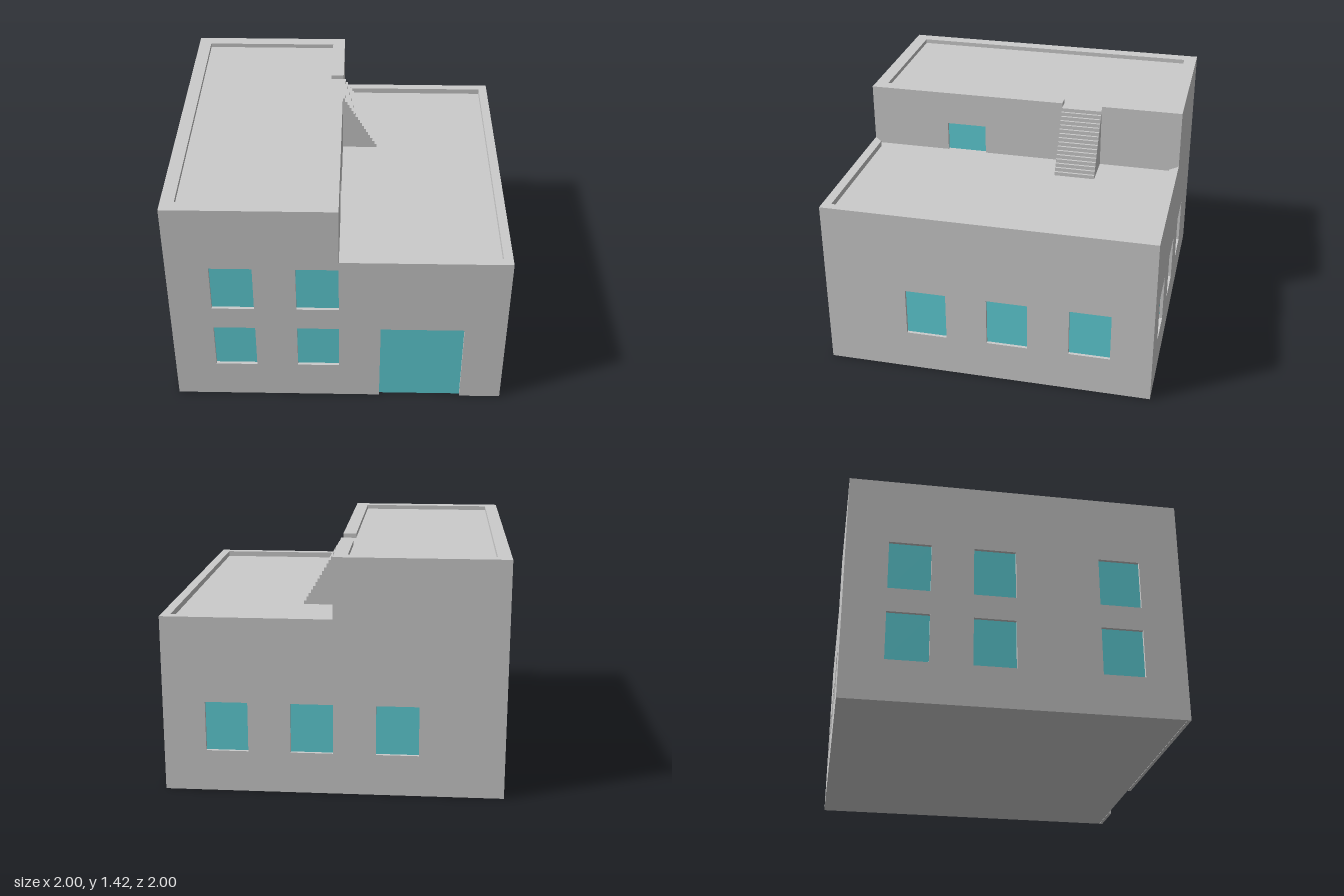
import * as THREE from 'three';

const grey = new THREE.MeshStandardMaterial({ color: 0xcccccc, flatShading: true });
const glass = new THREE.MeshStandardMaterial({ color: 0x5fd0d8, flatShading: true });

const LOW = 1.025, LOW_TOP = 1.06;    // lower roof and its parapet
const HIGH = 1.393, HIGH_TOP = 1.42;  // upper roof and its parapet
const T = 0.02;                       // depth of window and door recesses

const shapeOf = pts => new THREE.Shape(pts.map(p => new THREE.Vector2(p[0], p[1])));

function add(parent, name, geometry, material = grey) {
  const mesh = new THREE.Mesh(geometry, material);
  mesh.name = name;
  parent.add(mesh);
  return mesh;
}

function box(parent, name, x0, x1, y0, y1, z0, z1) {
  add(parent, name, new THREE.BoxGeometry(x1 - x0, y1 - y0, z1 - z0))
    .position.set((x0 + x1) / 2, (y0 + y1) / 2, (z0 + z1) / 2);
}

// Wall skin with recessed openings; outline and openings lie in the wall's own plane
function wall(parent, name, outline, windows, doors, turn, x, z) {
  const group = new THREE.Group();
  group.name = name;
  const shape = shapeOf(outline);
  for (const [x0, y0, x1, y1] of windows) {
    shape.holes.push(new THREE.Path([[x0, y0], [x0, y1], [x1, y1], [x1, y0]]
      .map(p => new THREE.Vector2(p[0], p[1]))));
  }
  const skin = add(group, name + 'Skin', new THREE.ExtrudeGeometry(shape, { depth: T, bevelEnabled: false }));
  skin.position.z = -T;
  const pane = ([x0, y0, x1, y1], label) =>
    add(group, label, new THREE.PlaneGeometry(x1 - x0, y1 - y0), glass)
      .position.set((x0 + x1) / 2, (y0 + y1) / 2, -T + 0.001);
  windows.forEach(w => pane(w, 'window'));
  doors.forEach(d => pane(d, 'door'));
  group.rotation.y = turn;
  group.position.set(x, 0, z);
  parent.add(group);
}

// Flat plan in (x, z) raised from y0 to y1
function plan(parent, name, pts, y0, y1) {
  const geo = new THREE.ExtrudeGeometry(shapeOf(pts.map(([x, z]) => [x, -z])), { depth: y1 - y0, bevelEnabled: false });
  geo.rotateX(-Math.PI / 2);
  add(parent, name, geo).position.y = y0;
}

// Rows of windows from their left edges
const row = (starts, y0, y1) => starts.map(x => [x, y0, x + 0.25, y1]);
const GROUND = [0.25, 0.55], UPPER = [0.7, 1.005];

export function createModel() {
  const house = new THREE.Group();
  house.name = 'house';
  const E = 1 - T;

  // Front wall, stepped, with a notch for the large door
  wall(house, 'frontWall',
    [[-1, 0], [0.25, 0], [0.25, 0.55], [0.75, 0.55], [0.75, 0], [1, 0], [1, LOW], [0, LOW], [0, HIGH], [-1, HIGH]],
    [...row([-0.75, -0.25], ...GROUND), ...row([-0.75, -0.25], ...UPPER)],
    [[0.25, 0, 0.75, 0.55]], 0, 0, 1);

  // Back wall, mirrored step
  wall(house, 'backWall',
    [[-1, 0], [1, 0], [1, HIGH], [0, HIGH], [0, LOW], [-1, LOW]],
    row([-0.75, -0.25, 0.25], ...GROUND), [], Math.PI, 0, -1);

  // Side walls
  wall(house, 'leftWall', [[-E, 0], [E, 0], [E, LOW], [-E, LOW]],
    row([-0.5, 0, 0.5], ...GROUND), [], Math.PI / 2, 1, 0);
  wall(house, 'rightWall', [[-E, 0], [E, 0], [E, HIGH], [-E, HIGH]],
    [...row([-0.75, -0.25, 0.5], ...GROUND), ...row([-0.75, -0.25, 0.5], ...UPPER)],
    [], -Math.PI / 2, -1, 0);

  // Upper storey wall facing the terrace, with its door
  wall(house, 'terraceWall',
    [[-E, LOW], [-0.5, LOW], [-0.5, 1.21], [-0.25, 1.21], [-0.25, LOW], [E, LOW], [E, HIGH], [-E, HIGH]],
    [], [[-0.5, LOW, -0.25, 1.21]], Math.PI / 2, 0, 0);

  // Floor and roof slabs
  box(house, 'floor', -E, E, 0, 0.04, -E, E - 0.002);
  box(house, 'terraceRoof', -T, E, LOW - 0.02, LOW, -E, E);
  box(house, 'upperRoof', -E, -T, HIGH - 0.02, HIGH, -E, E);

  // Parapets: mitred into the wall below, open at the stair above
  const a = 0.055, b = 0.945;
  plan(house, 'terraceParapet',
    [[0, 1], [1, 1], [1, -1], [0, -1], [a, -b], [b, -b], [b, b], [a, b]], LOW, LOW_TOP);
  const c = -0.08, d = -0.92, e = 0.92;
  plan(house, 'upperParapet',
    [[0, -0.25], [0, 1], [-1, 1], [-1, -1], [0, -1], [0, -0.5], [c, -0.5], [c, -e], [d, -e], [d, e], [c, e], [c, -0.25]],
    HIGH, HIGH_TOP);

  // Solid stair from the terrace to the upper roof
  const steps = 16, run = 0.22 / steps, rise = (HIGH - LOW) / steps;
  const profile = [[0, LOW], [0.22, LOW]];
  for (let i = 0; i < steps; i++) {
    const x = 0.22 - i * run, y = LOW + (i + 1) * rise;
    profile.push([x, y], [x - run, y]);
  }
  profile.pop();
  profile.push([0, HIGH]);
  add(house, 'stair', new THREE.ExtrudeGeometry(shapeOf(profile), { depth: 0.25, bevelEnabled: false }))
    .position.z = -0.5;

  return house;
}
